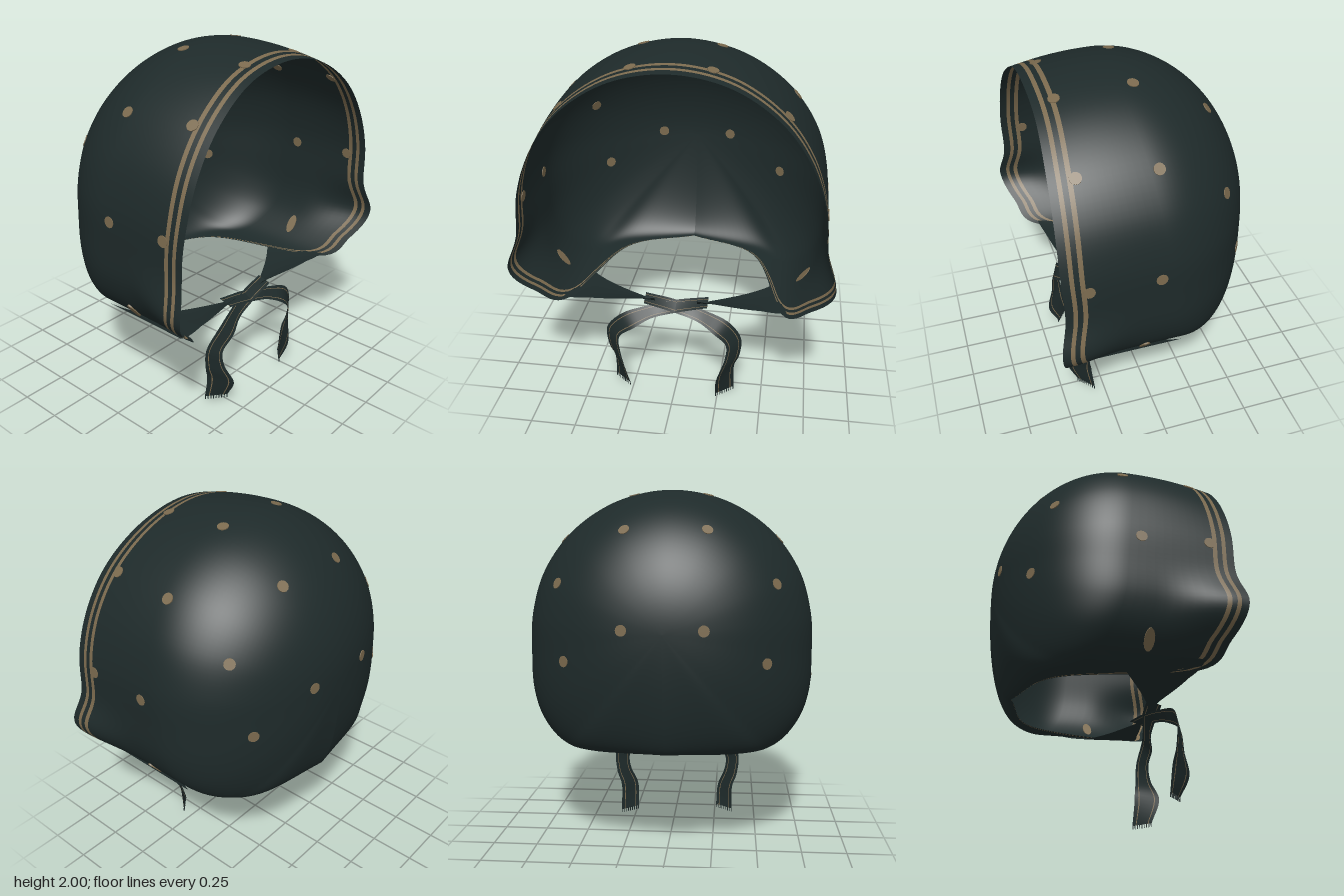
import * as THREE from 'three';

export function createModel() {
  const model = new THREE.Group();
  const cloth = new THREE.MeshStandardMaterial({ name: 'dark green cloth', color: 0x1e2a2a, side: THREE.DoubleSide });
  const tan = new THREE.MeshStandardMaterial({ name: 'tan trim', color: 0x7b6a4e, side: THREE.DoubleSide });

  const add = (name, geometry, material) => {
    const mesh = new THREE.Mesh(geometry, material);
    mesh.name = name;
    model.add(mesh);
    return mesh;
  };

  // Grid surface; columns j listed in tanCols use the second material
  function grid(nu, nv, point, tanCols = []) {
    const pos = [], index = [], geo = new THREE.BufferGeometry();
    for (let i = 0; i <= nu; i++)
      for (let j = 0; j <= nv; j++) pos.push(...point(i, j));
    for (let j = 0; j < nv; j++) {
      geo.addGroup(index.length, nu * 6, tanCols.includes(j) ? 1 : 0);
      for (let i = 0; i < nu; i++) {
        const a = i * (nv + 1) + j, b = a + 1, c = a + nv + 1, d = c + 1;
        index.push(a, b, c, b, d, c);
      }
    }
    geo.setAttribute('position', new THREE.Float32BufferAttribute(pos, 3));
    geo.setIndex(index);
    geo.computeVertexNormals();
    return geo;
  }

  // Hood outline from crown to nape: x, y, shoulder z, front edge z
  const keys = [
    [0, 2.0, 0.1, 0.53], [0.3, 1.942, 0.1, 0.53], [0.55, 1.785, 0.08, 0.545], [0.715, 1.565, 0.05, 0.555],
    [0.788, 1.32, 0.02, 0.56], [0.797, 1.08, 0, 0.555], [0.785, 0.88, -0.02, 0.59], [0.72, 0.72, -0.08, 0.53],
    [0.59, 0.605, -0.18, 0.4], [0.4, 0.588, -0.34, -0.27], [0, 0.6, -0.46, -0.455],
  ];
  const full = [...keys.slice(1).reverse().map(([x, ...r]) => [-x, ...r]), ...keys];
  const curve = (f) => new THREE.CatmullRomCurve3(full.map(f), false, 'catmullrom', 0.5);
  const outline = curve((k) => new THREE.Vector3(k[0], k[1], k[2]));
  const edge = curve((k) => new THREE.Vector3(k[0], k[1], k[3]));

  // Hood: rounded back, straight sides, flared front corners, striped rim
  const NU = 160, NB = 36, NS = 10, rim = [0.088, 0.062, 0.04, 0];
  const NV = NB + NS + rim.length, BACK = -0.593, CY = 1.25;
  const hoodPoint = (i, j) => {
    const p = outline.getPoint(i / NU), end = edge.getPoint(i / NU).z;
    let x = p.x, y = p.y, z;
    if (j <= NB) {
      const phi = (j / NB) * Math.PI / 2, s = Math.sin(phi);
      x *= s;
      y = CY + (y - CY) * s;
      z = p.z - (p.z - BACK) * Math.cos(phi);
    } else {
      const w = Math.min(1, Math.max(0, (end - p.z) / 0.4));
      const inner = end - 0.112 * w;
      z = j <= NB + NS ? p.z + (inner - p.z) * (j - NB) / NS : end - rim[j - NB - NS - 1] * w;
    }
    const k = Math.max(0, (z - 0.1) / 0.45) ** 2;
    const flare = THREE.MathUtils.smoothstep(z, 0.15, 0.55) * Math.exp(-(((y - 0.85) / 0.14) ** 2));
    x *= 1 - 0.04 * k * THREE.MathUtils.smoothstep(y, 1.1, 1.6);
    x += Math.sign(x) * 0.075 * flare;
    y -= 0.06 * k * Math.max(0, (y - 1.4) / 0.6);
    return [x, y, z];
  };
  const hoodGeo = grid(NU, NV, hoodPoint, [NB + NS, NB + NS + 2]);
  add('hood', hoodGeo, [cloth, tan]);

  // Spots: thin discs set through the cloth, so they show inside and out
  const spots = [
    [0.21, 1.98, 0.03], [0.61, 1.73, 0.03], [0.22, 1.78, -0.37], [0.59, 1.5, -0.35], [0.21, 1.27, -0.58],
    [0.52, 1.09, -0.43], [0.79, 1.22, 0.07], [0.7, 0.7, 0.12],
    [0.2, 1.94, 0.42], [0.57, 1.73, 0.42], [0.78, 1.23, 0.43],
  ];
  const hp = hoodGeo.attributes.position, hn = hoodGeo.attributes.normal;
  const disc = new THREE.CylinderGeometry(0.03, 0.03, 0.007, 14);
  const up = new THREE.Vector3(0, 1, 0), v = new THREE.Vector3();
  for (const [x, y, z] of spots)
    for (const side of [1, -1]) {
      const target = new THREE.Vector3(x * side, y, z);
      let best = 0, dist = Infinity;
      for (let i = 0; i < hp.count; i++) {
        const d = v.fromBufferAttribute(hp, i).distanceToSquared(target);
        if (d < dist) { dist = d; best = i; }
      }
      const n = new THREE.Vector3().fromBufferAttribute(hn, best);
      v.fromBufferAttribute(hp, best).sub(target);
      const spot = add('spot', disc, tan);
      spot.position.copy(target).addScaledVector(n, v.dot(n));
      spot.quaternion.setFromUnitVectors(up, n);
      if (y < 0.8) spot.scale.set(2, 1.6, 0.9);
    }

  for (const side of [1, -1]) {
    // Chin flap folding in under the hood and narrowing to the tie
    add('chinFlap', grid(20, 8, (i, j) => {
      const u = i / 20, f = j / 8;
      const front = 0.42 - 0.09 * u, back = -0.1 + 0.39 * u ** 0.65;
      const y = 0.562 + 0.075 * (1 - u) ** 5 + 0.036 * f * f * Math.min(1, u * 3);
      return [side * (0.67 - 0.55 * u), y, back + (front - back) * f];
    }), cloth);

    // Tie ribbon: crosses under the chin, then hangs with a slight twist
    const drop = side > 0 ? 0.02 : 0.045, out = side > 0 ? 0 : 0.02;
    const path = new THREE.CatmullRomCurve3([
      [-0.18, 0.578, 0.3], [0, 0.55, 0.32], [0.14, 0.52, 0.35], [0.265, 0.47, 0.385],
      [0.335 + out, 0.38, 0.375], [0.33 + out, 0.27, 0.375], [0.295 + out, 0.17, 0.385], [0.29 + out, drop, 0.35],
    ].map(([x, y, z]) => new THREE.Vector3(side * x, y, z)));
    const half = new THREE.CatmullRomCurve3([
      [0, 0.012, -0.04], [0, 0.022, -0.035], [0.01, 0.03, -0.02], [0.035, 0.035, -0.02],
      [0.04, 0.015, -0.025], [0.04, 0, -0.035], [0.045, 0.01, -0.06], [0.05, 0, -0.042],
    ].map(([x, y, z]) => new THREE.Vector3(side * x, y, z)));
    const across = [-1, -0.66, -0.58, 0.58, 0.66, 1];
    const tiePoint = (t, a) => path.getPoint(t).addScaledVector(half.getPoint(t), a);
    add('tie', grid(40, 5, (i, j) => tiePoint(i / 40, across[j]).toArray(), [1, 3]), [cloth, tan]);

    // Frayed end of the tie
    for (let k = 0; k < 9; k++) {
      const thread = add('fringeThread', new THREE.BoxGeometry(0.004, 0.024, 0.004), cloth);
      thread.position.copy(tiePoint(1, -0.95 + k * 0.2375));
      thread.position.y -= 0.008;
    }
  }
  return model;
}
